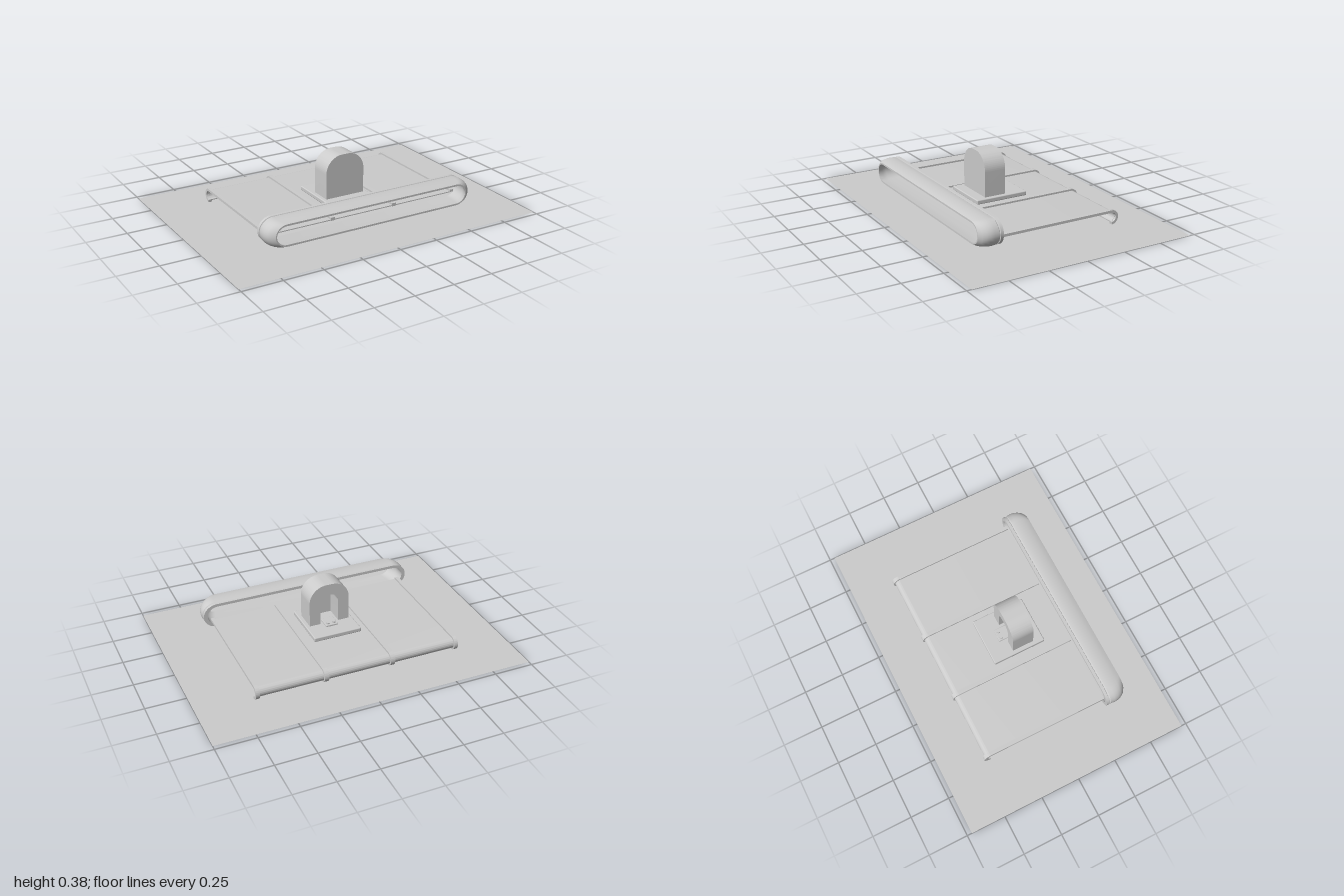
import * as THREE from 'three';
import { toCreasedNormals } from 'three/addons/utils/BufferGeometryUtils.js';
import { RoundedBoxGeometry } from 'three/addons/geometries/RoundedBoxGeometry.js';

const material = new THREE.MeshStandardMaterial({ color: 0xcccccc });
const doubleSided = new THREE.MeshStandardMaterial({ color: 0xcccccc, side: THREE.DoubleSide });

// Strip of given width along x: flat run, then a curl down at the back
function curledStrip(width, x, rInner, rOuter, front) {
  const cu = 0.415, cy = 0.055, end = -Math.PI * 0.48;
  const s = new THREE.Shape();
  s.moveTo(-front, cy + rInner);
  s.lineTo(-front, cy + rOuter);
  s.lineTo(cu, cy + rOuter);
  s.absarc(cu, cy, rOuter, Math.PI / 2, end, true);
  s.lineTo(cu + rInner * Math.cos(end), cy + rInner * Math.sin(end));
  s.absarc(cu, cy, rInner, end, Math.PI / 2, false);
  s.closePath();
  const g = new THREE.ExtrudeGeometry(s, { depth: width, bevelEnabled: false, curveSegments: 20 });
  g.rotateY(Math.PI / 2).translate(x - width / 2, 0, 0);
  return toCreasedNormals(g, 0.6);
}

// Upright outline with rounded top corners
function archPath(Type, half, bottom, top, r) {
  const p = new Type();
  p.moveTo(-half, bottom);
  p.lineTo(half, bottom);
  p.lineTo(half, top - r);
  p.absarc(half - r, top - r, r, 0, Math.PI / 2, false);
  p.lineTo(-half + r, top);
  p.absarc(-half + r, top - r, r, Math.PI / 2, Math.PI, false);
  p.closePath();
  return p;
}

function extrudeZ(shape, z0, z1) {
  const g = new THREE.ExtrudeGeometry(shape, { depth: z1 - z0, bevelEnabled: false, curveSegments: 16 });
  return toCreasedNormals(g.translate(0, 0, z0), 0.6);
}

// Hollow loop: stadium sections [half width, half height, z] joined in a closed ring
function loopGeometry(sections, yCentre) {
  const pos = [], idx = [], arc = 16, ring = 2 * (arc + 1), n = sections.length;
  for (const [hx, hy, z] of sections) {
    for (let side = 0; side < 2; side++) {
      for (let i = 0; i <= arc; i++) {
        const a = -Math.PI / 2 + side * Math.PI + (i / arc) * Math.PI;
        const rx = hy * 1.1;
        pos.push((side ? -1 : 1) * (hx - rx) + rx * Math.cos(a), yCentre + hy * Math.sin(a), z);
      }
    }
  }
  for (let s = 0; s < n; s++) {
    for (let i = 0; i < ring; i++) {
      const j = (i + 1) % ring, t = (s + 1) % n;
      const a = s * ring + i, b = s * ring + j, c = t * ring + j, d = t * ring + i;
      idx.push(a, b, c, a, c, d);
    }
  }
  const g = new THREE.BufferGeometry();
  g.setAttribute('position', new THREE.Float32BufferAttribute(pos, 3));
  g.setIndex(idx);
  g.computeVertexNormals();
  return toCreasedNormals(g, 0.6);
}

export function createModel() {
  const model = new THREE.Group();
  const add = (name, geometry, mat = material) => {
    const mesh = new THREE.Mesh(geometry, mat);
    mesh.name = name;
    model.add(mesh);
    return mesh;
  };

  // Ground sheet
  add('groundPlane', new THREE.PlaneGeometry(2, 1.44).rotateX(-Math.PI / 2), doubleSided);

  // Thin deck with curled rear edge, and four ribs that clasp it
  add('deck', curledStrip(1.28, 0, 0.028, 0.034, 0.36));
  for (const side of [-1, 1]) {
    add('outerRib', curledStrip(0.024, side * 0.642, 0.029, 0.045, 0.36));
    add('innerRib', curledStrip(0.028, side * 0.214, 0.025, 0.045, 0.36));
  }

  // Front loop: rear flange, then a shell that bulges and narrows forward
  add('frontLoop', loopGeometry([
    [0.7, 0.08, 0.35], [0.7, 0.08, 0.368],
    [0.694, 0.076, 0.37], [0.694, 0.076, 0.374],
    [0.7, 0.079, 0.378], [0.703, 0.081, 0.405], [0.7, 0.08, 0.43],
    [0.692, 0.077, 0.453], [0.678, 0.073, 0.473], [0.655, 0.068, 0.489],
    [0.648, 0.057, 0.489], [0.66, 0.06, 0.46], [0.672, 0.062, 0.43], [0.675, 0.062, 0.35],
  ], 0.12));

  // Base plate
  add('basePlate', new RoundedBoxGeometry(0.31, 0.028, 0.345, 3, 0.006)).position.set(0, 0.103, 0.038);

  // Arched housing: closed front panel, open alcove behind
  const shell = archPath(THREE.Shape, 0.13, 0.11, 0.385, 0.11);
  shell.holes.push(archPath(THREE.Path, 0.06, 0.112, 0.315, 0.058));
  add('housingArch', extrudeZ(shell, 0.003, 0.12));
  add('housingFront', extrudeZ(archPath(THREE.Shape, 0.13, 0.11, 0.385, 0.11), 0.12, 0.143));

  // Small latch block with two studs
  add('latchBlock', new RoundedBoxGeometry(0.08, 0.012, 0.09, 2, 0.003)).position.set(0, 0.121, 0);
  for (const x of [-0.02, 0.02]) {
    add('latchStud', new THREE.CylinderGeometry(0.011, 0.011, 0.012, 20)).position.set(x, 0.13, -0.023);
  }

  return model;
}
